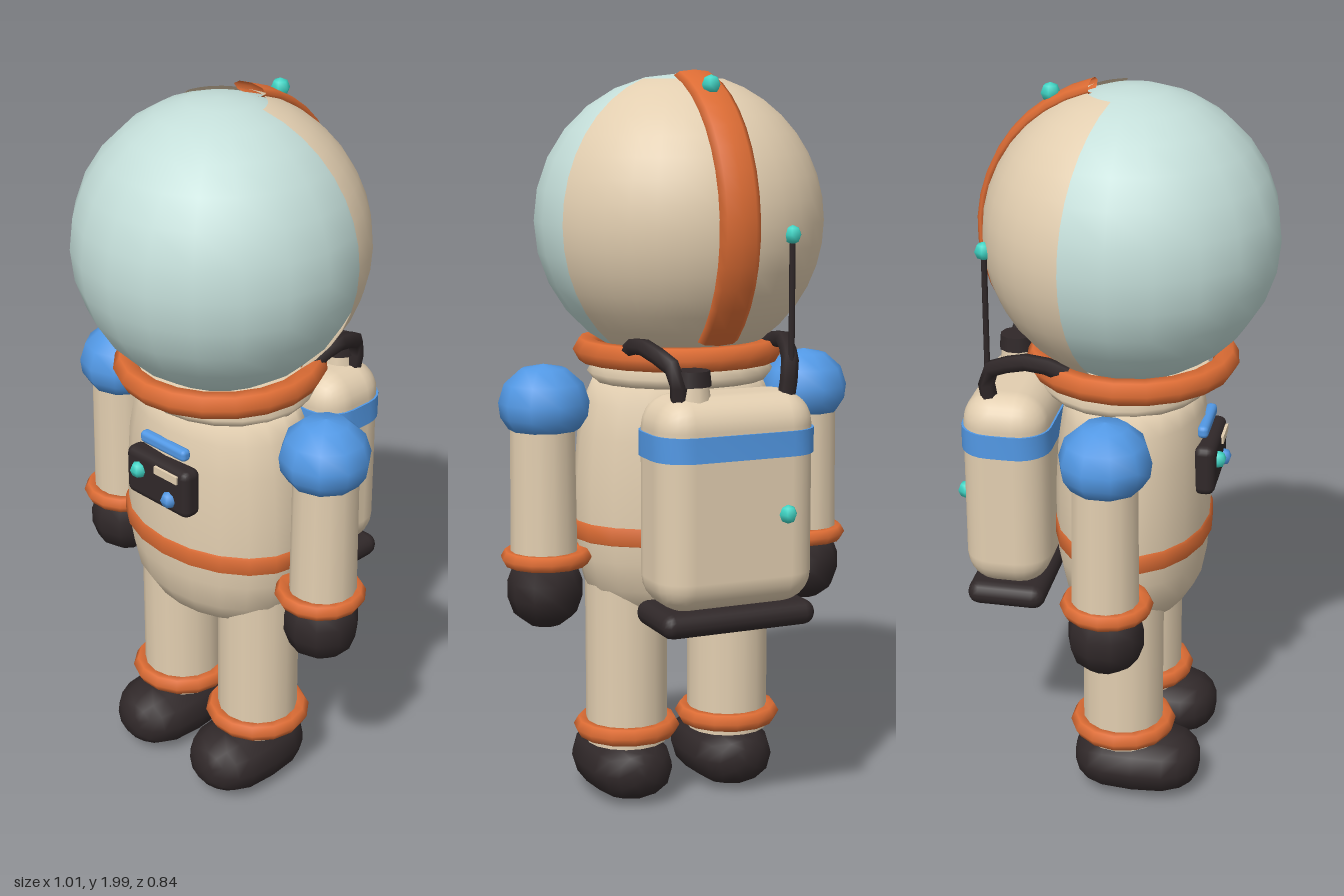
import * as THREE from 'three';
import { RoundedBoxGeometry } from 'three/addons/geometries/RoundedBoxGeometry.js';
import { toCreasedNormals } from 'three/addons/utils/BufferGeometryUtils.js';

const material = (name, color, extra = {}) => Object.assign(new THREE.MeshStandardMaterial({ color, ...extra }), { name });

export function createModel() {
  const group = new THREE.Group();
  const fabric = material('suit fabric', 0xe2ceb0, { side: THREE.DoubleSide });
  const glass = material('visor glass', 0xc4ded9);
  const orange = material('orange trim', 0xdc6c34, { side: THREE.DoubleSide });
  const blue = material('blue trim', 0x5298e4);
  const dark = material('dark rubber', 0x302829);
  const teal = material('teal light', 0x40d6c6);

  const add = (name, geometry, mat, x = 0, y = 0, z = 0) => {
    const mesh = new THREE.Mesh(geometry, mat);
    mesh.name = name;
    mesh.position.set(x, y, z);
    group.add(mesh);
    return mesh;
  };
  const ring = (R, r, segments = 14) => new THREE.TorusGeometry(R, r, 6, segments).rotateX(Math.PI / 2);
  const lathe = (points, segments, depth = 1) =>
    new THREE.LatheGeometry(points.map(([r, y]) => new THREE.Vector2(r, y)), segments).scale(1, 1, depth);
  const light = (name, mat, r, x, y, z) => add(name, new THREE.SphereGeometry(r, 6, 4), mat, x, y, z);

  // Helmet: visor globe, rear shell, crest strip and neck ring
  const headY = 1.6, headZ = 0.035, span = 2.52;
  add('visor', new THREE.SphereGeometry(0.385, 20, 14), glass, 0, headY, headZ);
  add('helmetShell', new THREE.SphereGeometry(0.391, 14, 14, 1.5 * Math.PI - span / 2, span, 0.31, 2.2),
    fabric, 0, headY, headZ);
  add('crestStrip', new THREE.TorusGeometry(0.395, 0.015, 8, 14, 2.15).rotateZ(-0.85)
    .scale(1, 1, 3.8).rotateY(Math.PI / 2), orange, 0, headY, headZ);
  light('crestLight', teal, 0.026, 0, 1.957, -0.18);
  add('neckRing', ring(0.25, 0.035, 20), orange, 0, 1.255, headZ);
  add('collar', lathe([[0, 1.175], [0.235, 1.175], [0.255, 1.2], [0.235, 1.23], [0, 1.23]], 20, 0.91), fabric, 0, 0, 0.02);

  // Torso and belt
  add('torso', lathe([[0, 0.52], [0.13, 0.527], [0.215, 0.56], [0.265, 0.62], [0.286, 0.7], [0.292, 0.78], [0.292, 0.9],
    [0.282, 1.03], [0.264, 1.12], [0.237, 1.18], [0, 1.19]], 20, 0.715), fabric, 0, 0, 0.04);
  add('belt', lathe([[0.285, 0.745], [0.301, 0.752], [0.301, 0.796], [0.285, 0.803]], 20, 0.71), orange, 0, 0, 0.042);

  // Chest controls
  add('chestPanel', new RoundedBoxGeometry(0.235, 0.14, 0.06, 2, 0.022), dark, 0, 0.98, 0.247);
  add('panelLabel', new THREE.BoxGeometry(0.085, 0.022, 0.012), fabric, 0.045, 1.024, 0.277);
  add('chestBar', new RoundedBoxGeometry(0.17, 0.034, 0.03, 2, 0.012), blue, 0, 1.08, 0.238);
  light('tealButton', teal, 0.024, -0.062, 0.998, 0.278);
  light('blueButton', blue, 0.024, 0.052, 0.952, 0.276);

  // Boots: ellipsoids blunted in length and height
  const boot = new THREE.SphereGeometry(1, 12, 10).rotateX(Math.PI / 2);
  const p = boot.attributes.position;
  const blunt = (v, power) => Math.sign(v) * Math.abs(v) ** power;
  for (let i = 0; i < p.count; i++) p.setXYZ(i, p.getX(i), blunt(p.getY(i), 0.8), blunt(p.getZ(i), 0.62));
  boot.scale(0.122, 0.09, 0.178);
  boot.computeVertexNormals();
  const smoothBoot = toCreasedNormals(boot, 1.2);

  // Limbs, mirrored
  const shoulder = lathe([[0, 1.058], [0.095, 1.058], [0.116, 1.09], [0.121, 1.13], [0.105, 1.18], [0.06, 1.22], [0, 1.232]], 10);
  const glove = lathe([[0, 0.522], [0.045, 0.525], [0.085, 0.555], [0.101, 0.6], [0.101, 0.645], [0.085, 0.688], [0, 0.7]], 10);
  for (const [side, s] of [['left', 1], ['right', -1]]) {
    add(side + 'Arm', new THREE.CylinderGeometry(0.086, 0.09, 0.4, 14), fabric, s * 0.39, 0.9, 0.038);
    add(side + 'Shoulder', shoulder, blue, s * 0.385, 0, 0.038);
    add(side + 'WristCuff', ring(0.1, 0.023), orange, s * 0.383, 0.71, 0.04);
    add(side + 'Glove', glove, dark, s * 0.388, 0, 0.04);
    add(side + 'Leg', new THREE.CylinderGeometry(0.112, 0.112, 0.46, 16), fabric, s * 0.153, 0.4, 0.04);
    add(side + 'AnkleCuff', ring(0.121, 0.026), orange, s * 0.153, 0.21, 0.04);
    add(side + 'Boot', smoothBoot, dark, s * 0.152, 0.095, 0.082);
    // Air hose from neck ring to backpack
    const path = new THREE.CatmullRomCurve3([[0.2, 1.27, -0.1], [0.205, 1.298, -0.18], [0.185, 1.28, -0.26],
      [0.16, 1.24, -0.325], [0.15, 1.15, -0.32]].map(([x, y, z]) => new THREE.Vector3(s * x, y, z)));
    add(side + 'Hose', new THREE.TubeGeometry(path, 6, 0.023, 6), dark);
  }

  // Backpack
  const packZ = -0.281;
  add('backpack', new RoundedBoxGeometry(0.44, 0.56, 0.234, 3, 0.085), fabric, 0, 0.9, packZ);
  add('backpackBase', new RoundedBoxGeometry(0.435, 0.066, 0.216, 2, 0.032), dark, 0, 0.593, packZ);
  const w = 0.225, d = 0.122, r = 0.088;
  const outline = new THREE.Shape();
  [[w - r, d - r], [r - w, d - r], [r - w, r - d], [w - r, r - d]].forEach(([x, y], q) =>
    outline.absarc(x, y, r, q * Math.PI / 2, (q + 1) * Math.PI / 2));
  const band = new THREE.ExtrudeGeometry(outline, { depth: 0.066, bevelEnabled: false, curveSegments: 3 });
  add('backpackBand', toCreasedNormals(band.rotateX(-Math.PI / 2), 0.8), blue, 0, 1.02, packZ);
  light('backpackLight', teal, 0.025, -0.12, 0.87, -0.402);
  add('valveNeck', new THREE.CylinderGeometry(0.042, 0.05, 0.06, 10), fabric, 0.11, 1.185, -0.31);
  add('valveCap', new THREE.CylinderGeometry(0.046, 0.05, 0.04, 10), dark, 0.11, 1.225, -0.31);
  add('antenna', new THREE.CylinderGeometry(0.008, 0.008, 0.43, 6), dark, -0.165, 1.36, -0.322);
  light('antennaTip', teal, 0.025, -0.165, 1.58, -0.322);
  return group;
}
